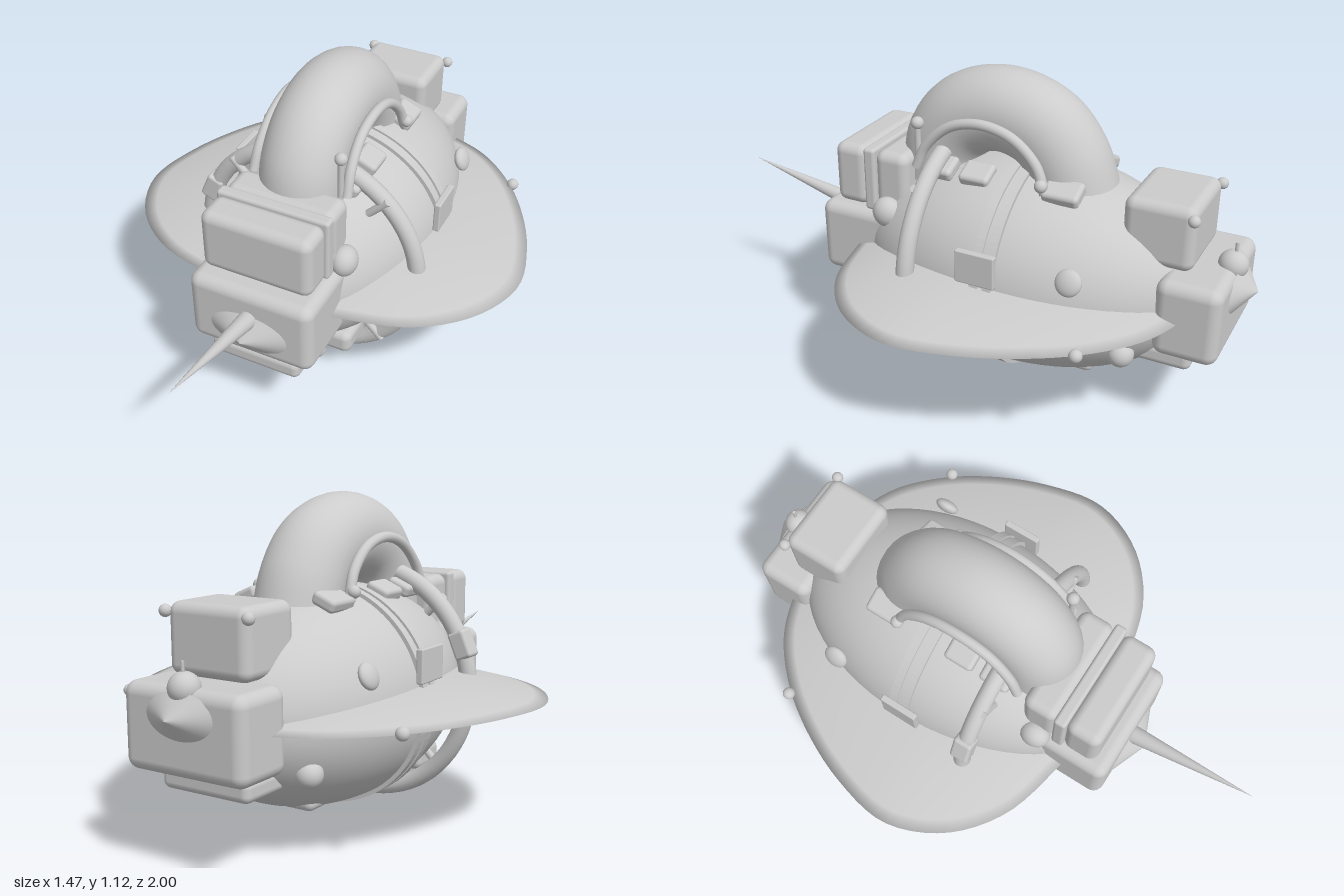
import * as THREE from 'three';
import { RoundedBoxGeometry } from 'three/addons/geometries/RoundedBoxGeometry.js';

const material = new THREE.MeshStandardMaterial({ color: 0xcccccc, side: THREE.DoubleSide });
const V = (x, y, z) => new THREE.Vector3(x, y, z);
const MID = 0.447; // height of the hull axis

export function createModel() {
  const group = new THREE.Group();

  function add(name, geometry, x = 0, y = 0, z = 0) {
    const mesh = new THREE.Mesh(geometry, material);
    mesh.name = name;
    mesh.position.set(x, y, z);
    group.add(mesh);
    return mesh;
  }
  // Rounded box given by its extents in y and z, centred on x
  function box(name, halfX, y0, y1, z0, z1, r = 0.035, x = 0) {
    const g = new RoundedBoxGeometry(halfX * 2, y1 - y0, z1 - z0, 4, r);
    return add(name, g, x, (y0 + y1) / 2, (z0 + z1) / 2);
  }
  function ball(name, r, x, y, z, sx = 1, sy = 1, sz = 1) {
    const mesh = add(name, new THREE.SphereGeometry(r, 24, 16), x, y, z);
    mesh.scale.set(sx, sy, sz);
    return mesh;
  }
  function tube(name, points, r, sides = 12) {
    const curve = new THREE.CatmullRomCurve3(points);
    return add(name, new THREE.TubeGeometry(curve, 40, r, sides), 0, 0, 0);
  }
  // Cone pointing from one point to another
  function spike(name, from, to, r) {
    const dir = to.clone().sub(from);
    const mesh = add(name, new THREE.ConeGeometry(r, dir.length(), 20));
    mesh.position.copy(from).add(to).multiplyScalar(0.5);
    mesh.quaternion.setFromUnitVectors(V(0, 1, 0), dir.normalize());
    return mesh;
  }

  // Hull
  const hull = add('hull', new THREE.SphereGeometry(1, 64, 40), 0, MID, -0.2);
  hull.scale.set(0.398, 0.372, 0.63);

  add('wing', wingGeometry(), 0, 0.45, 0);

  // Nose boxes, boss and horn
  box('noseBox', 0.227, 0.315, 0.587, 0.2, 0.54, 0.04);
  box('upperNoseBox', 0.2, 0.59, 0.815, 0.355, 0.485);
  box('noseSlab', 0.205, 0.585, 0.817, 0.315, 0.36, 0.012);
  box('noseBackBox', 0.2, 0.59, 0.812, 0.19, 0.32);
  box('chinBox', 0.167, 0.24, 0.312, 0.3, 0.515, 0.025);
  const noseBoss = add('noseBoss', new THREE.ConeGeometry(1, 0.065, 40), 0, 0.42, 0.565);
  noseBoss.rotation.x = Math.PI / 2;
  noseBoss.scale.set(0.16, 1, 0.085);
  spike('horn', V(0, 0.478, 0.53), V(0, 0.578, 1), 0.033);

  // Tail boxes, boss and beacon
  box('tailBox', 0.228, 0.315, 0.588, -0.937, -0.72, 0.04);
  box('upperTailBox', 0.152, 0.59, 0.815, -0.815, -0.575);
  box('lowerTailBox', 0.167, 0.24, 0.312, -0.842, -0.62, 0.025);
  const tailBoss = add('tailBoss', new THREE.ConeGeometry(1, 0.065, 40), 0, 0.505, -0.967);
  tailBoss.rotation.x = -Math.PI / 2;
  tailBoss.scale.set(0.13, 1, 0.075);
  ball('beacon', 0.05, 0, 0.585, -0.91);
  add('beaconMast', new THREE.CylinderGeometry(0.006, 0.006, 0.08, 8), 0, 0.625, -0.915);

  // Large arched duct over the hull
  tube('archedDuct', [
    V(0, 0.7, 0.15), V(0, 0.84, 0.125), V(0, 0.935, 0.045), V(0, 0.974, -0.09),
    V(0, 0.935, -0.235), V(0, 0.84, -0.32), V(0, 0.7, -0.37),
  ], 0.147, 32);

  // Outer hoop with struts to the hull
  add('hoop', new THREE.TorusGeometry(0.409, 0.031, 16, 72), 0, 0.445, 0.08);
  for (const sx of [-1, 1]) for (const sy of [-1, 1]) {
    const strut = add('hoopStrut', new THREE.CylinderGeometry(0.014, 0.014, 0.12, 10),
      sx * 0.255, MID + sy * 0.27, 0.1);
    strut.rotation.z = -sx * sy * Math.PI / 4;
  }
  const clamp = (sx, y, tilt) => {
    const mesh = box('hoopClamp', 0.032, y - 0.05, y + 0.05, 0.045, 0.115, 0.012, sx * 0.385);
    mesh.rotation.z = tilt;
  };
  clamp(-1, 0.6, -0.4);
  clamp(1, 0.31, -0.4);

  // Pair of flat straps around the hull
  for (const z of [-0.237, -0.19]) {
    const shape = new THREE.Shape().absellipse(0, 0, 0.412, 0.384, 0, Math.PI * 2);
    shape.holes.push(new THREE.Path().absellipse(0, 0, 0.385, 0.357, 0, Math.PI * 2));
    add('strap', new THREE.ExtrudeGeometry(shape,
      { depth: 0.03, bevelEnabled: false, curveSegments: 48 }), 0, MID, z);
  }
  const web = add('strapWeb', new THREE.CylinderGeometry(1, 1, 0.06, 64, 1, true), 0, MID, -0.2);
  web.rotation.x = Math.PI / 2;
  web.scale.set(0.404, 1, 0.376);

  // Mirrored fittings
  for (const s of [-1, 1]) {
    tube('ductRail', [
      V(s * 0.175, 0.78, 0.16), V(s * 0.17, 0.86, 0.125), V(s * 0.165, 0.94, 0.04),
      V(s * 0.165, 0.97, -0.075), V(s * 0.165, 0.945, -0.19), V(s * 0.17, 0.87, -0.28),
      V(s * 0.18, 0.78, -0.32),
    ], 0.018);
    ball('railFoot', 0.022, s * 0.19, 0.81, -0.31);
    box('strapPlate', 0.012, 0.52, 0.635, -0.25, -0.11, 0.005, s * 0.398);
    ball('sidePort', 0.045, s * 0.355, 0.585, -0.485, 0.5).rotation.z = s * 0.4;
    ball('frontPort', 0.055, s * 0.215, 0.6, 0.26, 0.85);
    ball('lowerRearPod', 0.045, s * 0.235, 0.295, -0.63);
    ball('lowerFrontPod', 0.035, s * 0.16, 0.26, 0.36);
    ball('wingLight', 0.022, s * 0.535, 0.455, -0.59);
    ball('tailStud', 0.02, s * 0.157, 0.785, -0.81);
    for (const [z0, z1] of [[0.02, 0.13], [-0.12, -0.01], [-0.44, -0.31]]) {
      const pad = box('deckPad', 0.045, 0.765, 0.81, z0, z1, 0.015, s * 0.155);
      pad.rotation.z = -s * 0.4;
    }
  }

  // Signal post beside the duct
  add('signalPost', new THREE.CylinderGeometry(0.011, 0.011, 0.16, 10), 0.154, 0.855, 0.165);
  ball('signalLamp', 0.022, 0.154, 0.93, 0.165);

  // Belly pads
  box('frontBellyPad', 0.222, 0.12, 0.212, 0.07, 0.225, 0.03);
  box('rearBellyPad', 0.15, 0.115, 0.185, -0.5, -0.29, 0.025);

  return group;
}

// Lens-shaped wing: one plan outline, shrunk in rings towards its centre
function wingGeometry() {
  const half = [[0, 0.41], [0.25, 0.375], [0.48, 0.31], [0.65, 0.17], [0.735, -0.03],
    [0.7, -0.25], [0.61, -0.46], [0.5, -0.62], [0.36, -0.745], [0.2, -0.81], [0, -0.84]];
  const left = half.slice(1, -1).reverse().map(([x, z]) => [-x, z]);
  const outline = new THREE.CatmullRomCurve3(
    [...half, ...left].map(([x, z]) => V(x, 0, z)), true).getPoints(96);
  const rings = 16, zc = -0.15, n = outline.length;
  const pos = [], index = [];
  for (let i = 0; i <= 2 * rings; i++) {
    const t = i / rings - 1; // -1 top centre, 0 rim, 1 bottom centre
    const r = 1 - Math.abs(t);
    const y = -Math.sign(t) * 0.08 * (1 - r ** 2.5);
    for (const p of outline) pos.push(p.x * r, y, zc + (p.z - zc) * r);
  }
  for (let i = 0; i < 2 * rings; i++) for (let j = 0; j < n - 1; j++) {
    const a = i * n + j, b = a + n;
    index.push(a, b, a + 1, b, b + 1, a + 1);
  }
  const g = new THREE.BufferGeometry();
  g.setAttribute('position', new THREE.Float32BufferAttribute(pos, 3));
  g.setIndex(index);
  g.computeVertexNormals();
  return g;
}
